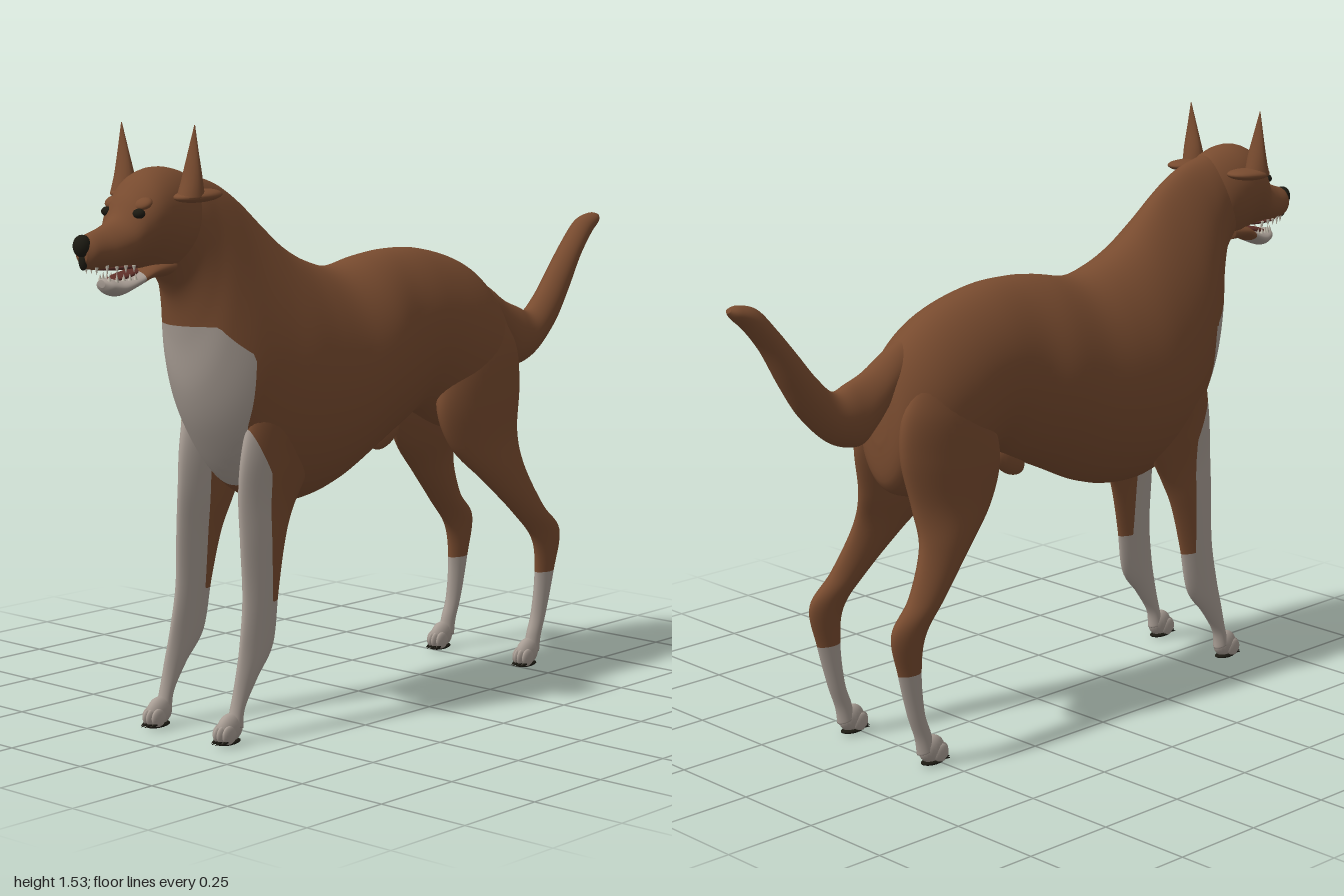
import * as THREE from 'three';

const material = (name, color) => {
  const m = new THREE.MeshStandardMaterial({ color });
  m.name = name;
  return m;
};

export function createModel() {
  const coat = material('brown coat', 0x784b2f);
  const pale = material('pale fur', 0xa89d94);
  const dark = material('dark nose and claws', 0x1c1a12);
  const mouth = material('mouth lining', 0x5e2f28);
  const teethMat = material('teeth', 0xc4bdae);
  const dog = new THREE.Group();
  dog.name = 'dog';

  // Positive where the fur is pale: chest bib, front of the forelegs, socks
  const paleness = (x, y, z) => {
    if (z < 0) return 0.26 - y;
    const top = 1.04 - Math.max(0, Math.abs(x) - 0.1) * 1.5;
    const edge = Math.max(0.474, 0.535 - Math.max(0, 0.78 - y) * 0.52);
    return Math.max(0.34 - y, Math.min(top - y, z - edge));
  };

  // Smooth skin through oval rings [zA, yA, zB, yB, centreX, halfWidth, taper];
  // A and B are opposite points of the ring in the side plane, taper narrows the A end
  function loft(name, rings, rule = paleness, { steps = 8, sides = 40 } = {}) {
    const spline = (a, b, c, d, t) => 0.5 * (2 * b + (c - a) * t
      + (2 * a - 5 * b + 4 * c - d) * t * t + (3 * b - a - 3 * c + d) * t * t * t);
    const last = rings.length - 1;
    const count = last * steps + 1;
    const pos = [], ends = [], index = [];
    for (let i = 0; i < count; i++) {
      const k = Math.min(Math.floor(i / steps), last - 1);
      const t = i / steps - k;
      const at = (r, n) => rings[Math.max(0, Math.min(last, r))][n] ?? 0;
      const [zA, yA, zB, yB, cx, hw, taper] = [0, 1, 2, 3, 4, 5, 6].map((n) =>
        spline(at(k - 1, n), at(k, n), at(k + 1, n), at(k + 2, n), t));
      const cy = (yA + yB) / 2, cz = (zA + zB) / 2;
      for (let j = 0; j < sides; j++) {
        const a = (j / sides) * Math.PI * 2, c = Math.cos(a);
        const w = hw * Math.sin(a) * (1 - taper * c - 0.12 * c * c);
        pos.push(cx + w, cy + (yA - yB) / 2 * c, cz + (zA - zB) / 2 * c);
      }
      if (i === 0 || i === count - 1) ends.push(cx, cy, cz);
    }
    pos.push(...ends);
    for (let j = 0; j < sides; j++) {
      const n = (j + 1) % sides;
      for (let i = 0; i < count - 1; i++) {
        const p = i * sides, q = p + sides;
        index.push(p + j, q + j, q + n, p + j, q + n, p + n);
      }
      index.push(count * sides, j, n);
      index.push(count * sides + 1, (count - 1) * sides + n, (count - 1) * sides + j);
    }
    const g = new THREE.BufferGeometry();
    g.setAttribute('position', new THREE.Float32BufferAttribute(pos, 3));
    g.setIndex(index);
    g.computeVertexNormals();

    // Cut triangles along the colour edge so that it stays clean
    const nor = Array.from(g.attributes.normal.array);
    const value = (v) => rule(pos[v * 3], pos[v * 3 + 1], pos[v * 3 + 2]);
    const cut = (a, b) => {
      const f = value(a) / (value(a) - value(b));
      for (const list of [pos, nor])
        for (let n = 0; n < 3; n++) list.push(list[a * 3 + n] * (1 - f) + list[b * 3 + n] * f);
      return pos.length / 3 - 1;
    };
    const brown = [], light = [];
    for (let i = 0; i < index.length; i += 3) {
      const tri = index.slice(i, i + 3);
      const on = tri.map((v) => value(v) > 0);
      const sum = on.filter(Boolean).length;
      if (sum % 3 === 0) { (sum ? light : brown).push(...tri); continue; }
      const k = on.indexOf(sum === 1);
      const a = tri[k], b = tri[(k + 1) % 3], c = tri[(k + 2) % 3];
      const ab = cut(a, b), ac = cut(a, c);
      (on[k] ? light : brown).push(a, ab, ac);
      (on[k] ? brown : light).push(ab, b, c, ab, c, ac);
    }
    g.setAttribute('position', new THREE.Float32BufferAttribute(pos, 3));
    g.setAttribute('normal', new THREE.Float32BufferAttribute(nor, 3));
    g.setIndex(brown.concat(light));
    g.addGroup(0, brown.length, 0);
    g.addGroup(brown.length, light.length, 1);
    const mesh = new THREE.Mesh(g, [coat, pale]);
    mesh.name = name;
    dog.add(mesh);
  }

  function place(name, geometry, mat, [x, y, z], scale, tilt) {
    const mesh = new THREE.Mesh(geometry, mat);
    mesh.position.set(x, y, z);
    mesh.scale.set(...scale);
    mesh.rotation.x = tilt;
    mesh.name = name;
    dog.add(mesh);
  }
  const ball = new THREE.SphereGeometry(1, 20, 14);
  const cone = new THREE.ConeGeometry(1, 1, 8);
  const blob = (name, mat, at, radii, tilt = 0) => place(name, ball, mat, at, radii, tilt);
  const spike = (name, mat, at, r, h, tilt) => place(name, cone, mat, at, [r, h, r], tilt);

  // Torso and neck, rump to throat
  loft('torso', [
    [-0.55, 0.92, -0.555, 0.82, 0, 0.03], [-0.535, 1.0, -0.535, 0.7, 0, 0.09],
    [-0.46, 1.085, -0.44, 0.66, 0, 0.13], [-0.36, 1.14, -0.33, 0.68, 0, 0.145],
    [-0.22, 1.175, -0.2, 0.735, 0, 0.145], [-0.1, 1.18, -0.1, 0.695, 0, 0.152],
    [0, 1.17, 0, 0.65, 0, 0.172], [0.12, 1.15, 0.13, 0.59, 0, 0.18, 0.03],
    [0.22, 1.172, 0.25, 0.56, 0, 0.186, 0.06], [0.31, 1.215, 0.37, 0.565, 0, 0.187, 0.12],
    [0.38, 1.27, 0.48, 0.625, 0, 0.172, 0.2], [0.45, 1.33, 0.575, 0.75, 0, 0.147, 0.27],
    [0.51, 1.37, 0.63, 0.87, 0, 0.122, 0.2], [0.56, 1.392, 0.655, 1.0, 0, 0.1, 0.1],
    [0.61, 1.405, 0.675, 1.09, 0, 0.088], [0.65, 1.41, 0.7, 1.14, 0, 0.082],
    [0.7, 1.4, 0.74, 1.19, 0, 0.075],
  ], paleness, { steps: 6, sides: 64 });
  blob('bellyFold', coat, [0, 0.69, -0.105], [0.022, 0.035, 0.062], 0.6);

  // Tail
  loft('tail', [
    [-0.46, 0.93, -0.42, 1.09, 0, 0.05], [-0.53, 0.91, -0.51, 1.055, 0, 0.05],
    [-0.575, 0.855, -0.58, 1.01, 0.005, 0.052], [-0.615, 0.82, -0.64, 0.985, 0.01, 0.05],
    [-0.7, 0.842, -0.69, 0.972, 0.012, 0.046], [-0.785, 0.918, -0.745, 1.02, 0.015, 0.043],
    [-0.845, 1.005, -0.8, 1.085, 0.015, 0.04], [-0.9, 1.1, -0.86, 1.155, 0.016, 0.036],
    [-0.95, 1.163, -0.915, 1.212, 0.018, 0.032], [-0.985, 1.195, -0.965, 1.228, 0.02, 0.024],
    [-1.0, 1.214, -0.993, 1.225, 0.02, 0.008],
  ]);

  // Skull and muzzle
  loft('head', [
    [0.6, 1.37, 0.64, 1.25, 0, 0.04], [0.64, 1.412, 0.68, 1.18, 0, 0.085],
    [0.72, 1.432, 0.725, 1.17, 0, 0.098, -0.1], [0.79, 1.418, 0.78, 1.185, 0.004, 0.094, -0.15],
    [0.84, 1.37, 0.825, 1.193, 0.007, 0.079, -0.1], [0.875, 1.32, 0.865, 1.195, 0.01, 0.06],
    [0.92, 1.297, 0.91, 1.195, 0.01, 0.049, 0.1], [0.965, 1.282, 0.96, 1.2, 0.01, 0.038],
    [0.985, 1.268, 0.978, 1.213, 0.01, 0.02],
  ]);
  blob('nose', dark, [0.01, 1.256, 0.978], [0.024, 0.027, 0.022]);
  blob('noseFold', dark, [0.01, 1.22, 0.976], [0.012, 0.022, 0.01]);

  // Lower jaw with pale chin, tongue, palate and teeth
  loft('lowerJaw', [
    [0.7, 1.22, 0.72, 1.165, 0, 0.055], [0.78, 1.205, 0.78, 1.163, 0.005, 0.055],
    [0.83, 1.182, 0.83, 1.145, 0.008, 0.047], [0.872, 1.172, 0.875, 1.13, 0.01, 0.041],
    [0.905, 1.175, 0.905, 1.138, 0.01, 0.031], [0.92, 1.172, 0.918, 1.153, 0.01, 0.012],
  ], (x, y, z) => z - 0.815);
  blob('tongue', mouth, [0.008, 1.178, 0.845], [0.027, 0.009, 0.055], 0.2);
  blob('palate', mouth, [0.009, 1.2, 0.87], [0.034, 0.008, 0.07]);
  for (const s of [-1, 1]) {
    for (let i = 0; i < 5; i++) {
      const f = i / 4, big = i === 3 ? 1.5 : 1;
      spike('upperTooth', teethMat, [0.01 + s * (0.04 - 0.022 * f * f), 1.196, 0.85 + 0.1 * f], 0.005, 0.018 * big, Math.PI);
      spike('lowerTooth', teethMat, [0.01 + s * (0.034 - 0.018 * f * f), 1.177, 0.84 + 0.068 * f], 0.005, 0.016 * big, 0);
    }
  }

  // Parts that come in pairs
  for (const s of [-1, 1]) {
    const side = s > 0 ? 'left' : 'right';
    const mirror = (rings) => rings.map((r) => [r[0], r[1], r[2], r[3], r[4] * s, r[5]]);

    blob(side + 'Eye', dark, [0.012 + s * 0.055, 1.328, 0.848], [0.017, 0.012, 0.013]);
    blob(side + 'Brow', coat, [0.008 + s * 0.047, 1.35, 0.826], [0.03, 0.013, 0.022], 0.6);

    // Upright ear and the fold at its base
    loft(side + 'Ear', mirror([
      [0.69, 1.365, 0.76, 1.36, 0.116, 0.036], [0.7, 1.41, 0.742, 1.41, 0.118, 0.03],
      [0.712, 1.47, 0.729, 1.47, 0.122, 0.017], [0.719, 1.535, 0.721, 1.535, 0.127, 0.001],
    ]), paleness, { sides: 16 });
    blob(side + 'EarFold', coat, [s * 0.11, 1.365, 0.695], [0.047, 0.016, 0.07], 0.05);

    // Foreleg, shoulder to wrist
    loft(side + 'Foreleg', mirror([
      [0.46, 1.0, 0.32, 0.95, 0.1, 0.03], [0.505, 0.88, 0.28, 0.81, 0.117, 0.05],
      [0.545, 0.73, 0.31, 0.67, 0.11, 0.041], [0.557, 0.62, 0.37, 0.56, 0.107, 0.031],
      [0.558, 0.5, 0.405, 0.48, 0.113, 0.027], [0.557, 0.36, 0.435, 0.36, 0.119, 0.024],
      [0.573, 0.25, 0.46, 0.23, 0.124, 0.021], [0.59, 0.17, 0.52, 0.155, 0.127, 0.019],
      [0.607, 0.095, 0.568, 0.085, 0.127, 0.018], [0.62, 0.05, 0.575, 0.035, 0.127, 0.02],
    ]));

    // Hind leg, thigh to ankle
    loft(side + 'HindLeg', mirror([
      [-0.3, 1.0, -0.48, 0.99, 0.075, 0.035], [-0.25, 0.86, -0.54, 0.9, 0.083, 0.058],
      [-0.225, 0.74, -0.553, 0.79, 0.088, 0.06], [-0.27, 0.63, -0.53, 0.66, 0.102, 0.047],
      [-0.37, 0.535, -0.53, 0.565, 0.128, 0.038], [-0.475, 0.435, -0.585, 0.45, 0.15, 0.034],
      [-0.545, 0.353, -0.653, 0.372, 0.158, 0.027], [-0.56, 0.26, -0.632, 0.26, 0.157, 0.021],
      [-0.55, 0.15, -0.602, 0.15, 0.155, 0.019], [-0.53, 0.09, -0.577, 0.08, 0.155, 0.019],
      [-0.52, 0.05, -0.57, 0.035, 0.155, 0.02],
    ]));

    // Paws: body, four toes with claws, dark pad
    for (const [name, x, z] of [['ForePaw', 0.126, 0.615], ['HindPaw', 0.156, -0.525]]) {
      blob(side + name, pale, [s * x, 0.042, z], [0.023, 0.037, 0.04], 0.3);
      blob(side + name + 'Pad', dark, [s * x, 0.008, z + 0.005], [0.021, 0.008, 0.038]);
      for (let i = 0; i < 4; i++) {
        const off = (i - 1.5) * 0.0115, reach = i % 3 ? 0.027 : 0.018;
        blob(side + name + 'Toe', pale, [s * x + off, 0.03, z + reach], [0.0085, 0.024, 0.024], 0.35);
        spike(side + name + 'Claw', dark, [s * x + off, 0.012, z + reach + 0.021], 0.006, 0.022, 1.9);
      }
    }
  }
  return dog;
}
